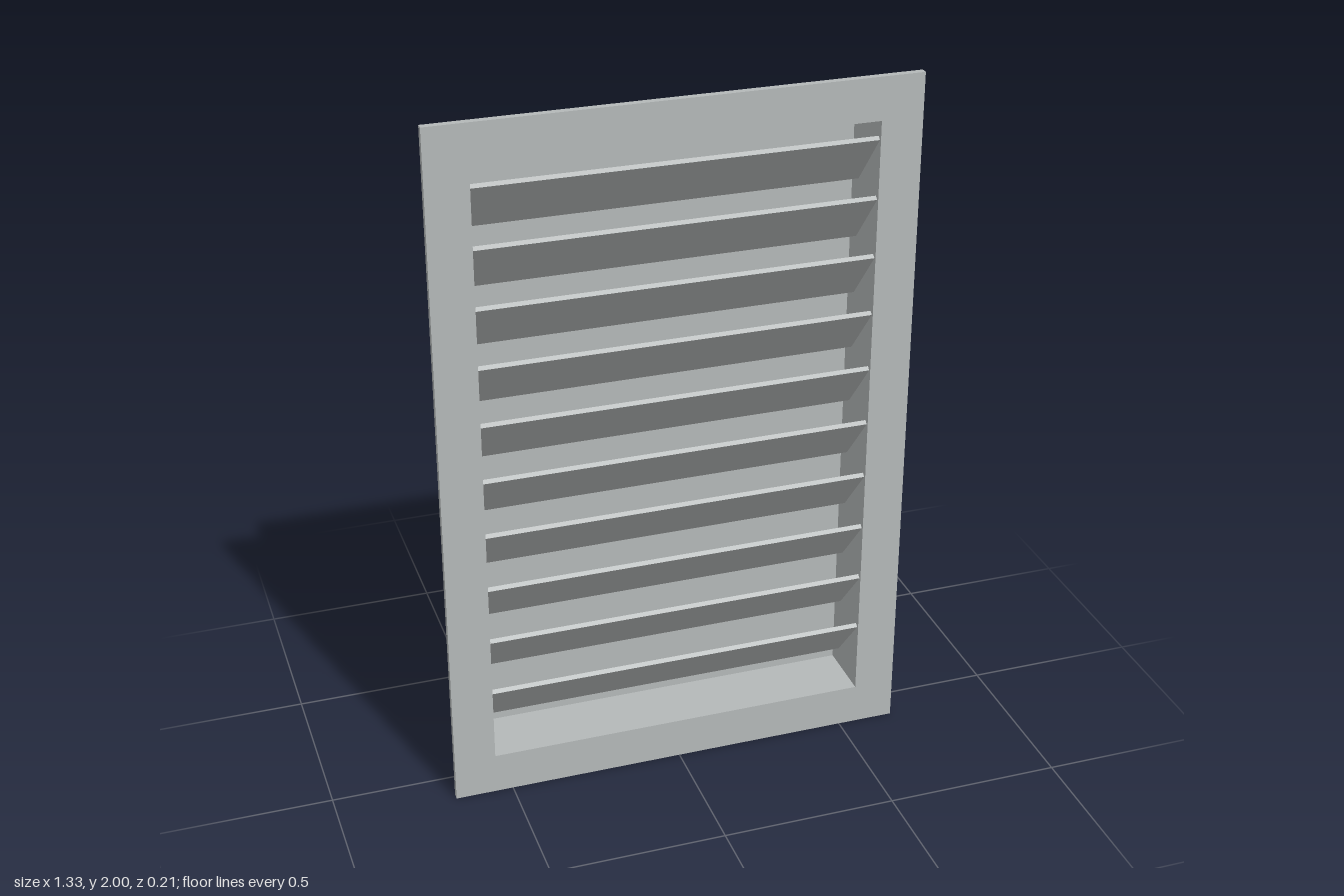
import * as THREE from 'three';

export function createModel() {
  const group = new THREE.Group();
  group.name = 'louverVent';
  const metal = new THREE.MeshStandardMaterial({ name: 'light grey metal', color: 0xb4b8b8 });
  const dark = new THREE.MeshStandardMaterial({ name: 'charcoal screen', color: 0x333333 });

  const add = (name, geometry, material, x, y, z) => {
    const mesh = new THREE.Mesh(geometry, material);
    mesh.name = name;
    mesh.position.set(x, y, z);
    group.add(mesh);
    return mesh;
  };

  // Rectangular ring, extruded from z = 0 towards +z
  const rectangle = (target, w, h) => {
    target.moveTo(-w, -h);
    target.lineTo(w, -h);
    target.lineTo(w, h);
    target.lineTo(-w, h);
    target.closePath();
    return target;
  };
  const ring = (w, h, innerW, innerH, depth) => {
    const shape = rectangle(new THREE.Shape(), w, h);
    shape.holes.push(rectangle(new THREE.Path(), innerW, innerH));
    return new THREE.ExtrudeGeometry(shape, { depth, bevelEnabled: false });
  };

  // Front flange and the sleeve that sits in the wall
  add('frontFlange', ring(0.665, 1, 0.548, 0.88, 0.02), metal, 0, 1, 0.083);
  add('wallSleeve', ring(0.556, 0.888, 0.548, 0.88, 0.176), metal, 0, 1, -0.093);

  // Closing plate inside the sleeve and the dark screen behind it
  add('backPlate', new THREE.BoxGeometry(1.096, 1.76, 0.015), metal, 0, 1, -0.083);
  add('backScreen', new THREE.BoxGeometry(1.096, 1.764, 0.006), dark, 0, 1, -0.1);

  // Ten slanted blades, upper edge at the front
  const blade = new THREE.BoxGeometry(1.096, 0.2, 0.013);
  for (let i = 0; i < 10; i++) {
    const mesh = add('louverBlade' + (i + 1), blade, metal, 0, 1.753 - i * 0.1667, 0.027);
    mesh.rotation.x = THREE.MathUtils.degToRad(40);
  }

  return group;
}
